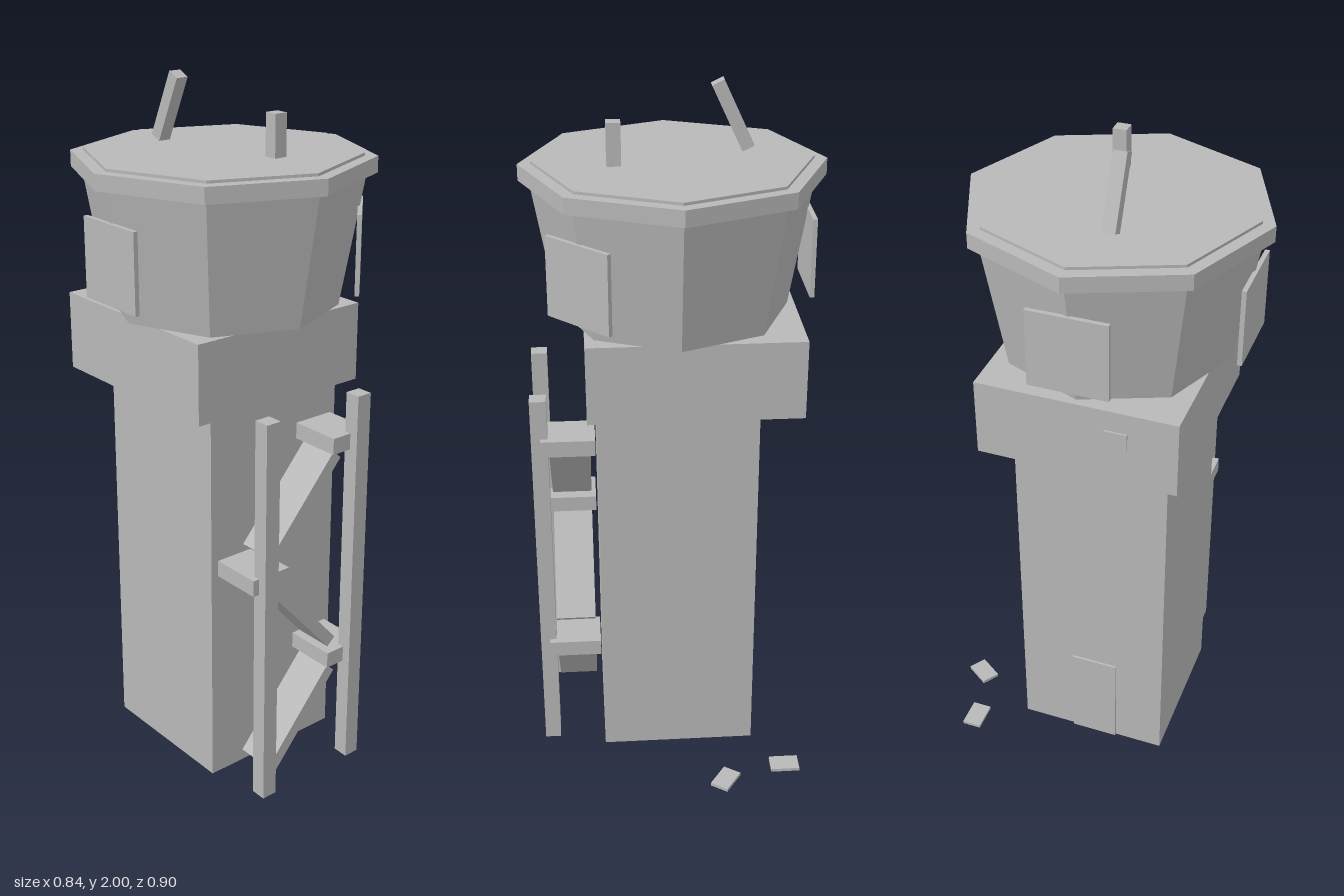
import * as THREE from 'three';

const CZ = 0.028; // tower axis in z

export function createModel() {
  const model = new THREE.Group();
  model.name = 'watchtower';
  const concrete = new THREE.MeshStandardMaterial({ color: 0xb8b8b8 });
  concrete.name = 'concrete grey';
  concrete.flatShading = true;

  const add = (name, geometry, x, y, z) => {
    const mesh = new THREE.Mesh(geometry, concrete);
    mesh.name = name;
    mesh.position.set(x, y, z);
    model.add(mesh);
    return mesh;
  };
  // box from its size and centre
  const box = (name, w, h, d, x, y, z) => add(name, new THREE.BoxGeometry(w, h, d), x, y, z);
  // octagonal frustum between two heights, corners on the axes
  const octagon = (name, rTop, rBottom, y0, y1) =>
    add(name, new THREE.CylinderGeometry(rTop, rBottom, y1 - y0, 8), 0, (y0 + y1) / 2, CZ);

  // shaft and off-centre collar
  box('shaft', 0.455, 1.145, 0.455, 0, 0.5725, CZ);
  box('collar', 0.6, 0.228, 0.572, -0.045, 1.257, 0.031);

  // flared cabin with rim and raised roof slab
  octagon('cabin', 0.392, 0.325, 1.371, 1.75);
  octagon('roofRim', 0.42, 0.42, 1.745, 1.79);
  octagon('roofSlab', 0.384, 0.384, 1.78, 1.798);

  // upright window shutters round the cabin
  for (const angle of [0, -Math.PI / 2, Math.PI * 0.75]) {
    const r = 0.376;
    const shutter = box('shutter', 0.225, 0.225, 0.013,
      Math.sin(angle) * r, 1.542, CZ + Math.cos(angle) * r);
    shutter.rotation.y = angle;
  }

  // door and vent on the right-hand side
  box('door', 0.009, 0.31, 0.142, -0.23, 0.155, 0.037);
  box('vent', 0.009, 0.052, 0.065, -0.346, 1.283, 0.145);

  // roof post and leaning mast
  box('roofPost', 0.039, 0.13, 0.039, 0.162, 1.85, -0.022);
  box('leaningMast', 0.037, 0.2, 0.037, -0.166, 1.9, 0.081).rotation.z = -0.44;

  // scaffold posts beside the shaft
  for (const z of [0.193, -0.135]) box('scaffoldPost', 0.047, 1.17, 0.047, 0.39, 0.585, z);

  // brackets joining the posts to the shaft
  for (const [y, z] of [[1.029, -0.113], [0.685, 0.172], [0.347, -0.113]]) {
    box('scaffoldBracket', 0.154, 0.048, 0.128, 0.31, y, z);
  }

  // zigzag ramps, each given by its lower and upper end (y, z)
  for (const [y0, z0, y1, z1] of [
    [0.04, 0.143, 0.3, -0.082],
    [0.39, -0.082, 0.645, 0.143],
    [0.73, 0.143, 0.99, -0.084],
  ]) {
    const length = Math.hypot(y1 - y0, z1 - z0);
    const ramp = box('scaffoldRamp', 0.119, length, 0.036, 0.306, (y0 + y1) / 2, (z0 + z1) / 2);
    ramp.rotation.x = Math.atan2(z1 - z0, y1 - y0);
  }

  // loose slabs on the ground behind
  box('groundSlab', 0.086, 0.01, 0.058, -0.313, 0.005, -0.343);
  box('groundSlab', 0.084, 0.01, 0.056, -0.128, 0.005, -0.4).rotation.y = 0.98;

  return model;
}
